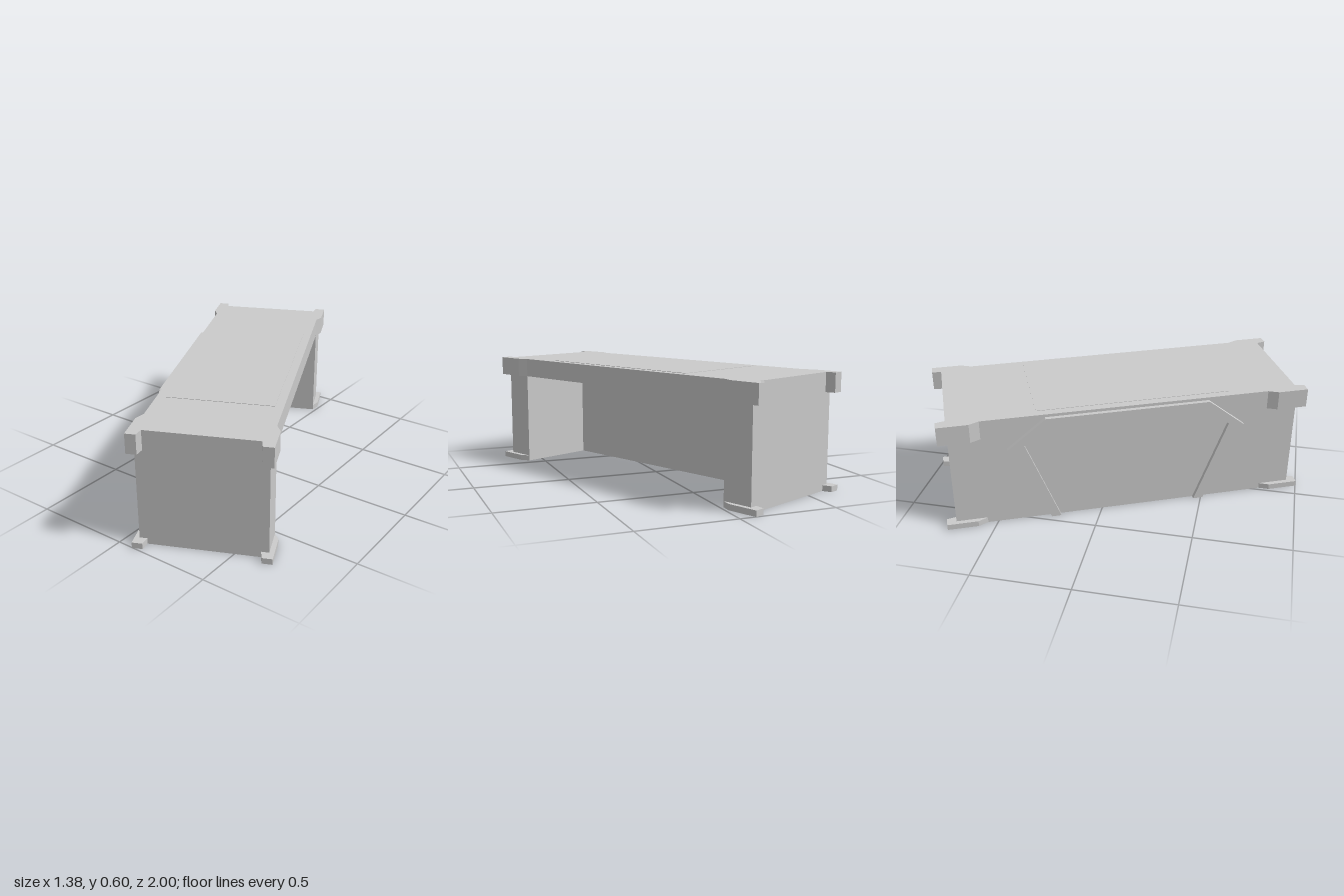
import * as THREE from 'three';

const W = 0.31, L = 0.9;          // half width and half length of the body
const H = 0.6, EAVE = 0.5;        // roof top and underside
const BACK = -0.108, BAY = 0.74;  // rear wall and half length of the open bay

const material = new THREE.MeshStandardMaterial({
  color: 0xcccccc, flatShading: true, side: THREE.DoubleSide,
});

function addMesh(parent, name, geometry) {
  const mesh = new THREE.Mesh(geometry, material);
  mesh.name = name;
  parent.add(mesh);
  return mesh;
}

const toShape = (points) => new THREE.Shape(points.map(([a, b]) => new THREE.Vector2(a, b)));

// Extrudes a footprint given as [x, z] between two heights
function slab(points, bottom, top) {
  return new THREE.ExtrudeGeometry(toShape(points), { depth: top - bottom, bevelEnabled: false })
    .rotateX(Math.PI / 2).translate(0, top, 0);
}

// Upright walls along a closed footprint, open above and below
function wallLoop(points, height) {
  const pos = [];
  points.forEach(([x0, z0], i) => {
    const [x1, z1] = points[(i + 1) % points.length];
    pos.push(x0, 0, z0, x1, 0, z1, x1, height, z1);
    pos.push(x0, 0, z0, x1, height, z1, x0, height, z0);
  });
  const geometry = new THREE.BufferGeometry();
  geometry.setAttribute('position', new THREE.Float32BufferAttribute(pos, 3));
  geometry.computeVertexNormals();
  return geometry;
}

export function createModel() {
  const model = new THREE.Group();
  model.name = 'shelter';
  const body = new THREE.Group();
  body.name = 'building';
  body.rotation.y = THREE.MathUtils.degToRad(24);
  model.add(body);

  // Hollow C-shaped walls around the bay that opens on one long side
  addMesh(body, 'walls', wallLoop([
    [-W, L], [W, L], [W, BAY], [BACK, BAY],
    [BACK, -BAY], [W, -BAY], [W, -L], [-W, -L],
  ], EAVE));

  // Roof slab, flush with the walls
  addMesh(body, 'roof', new THREE.BoxGeometry(2 * W, H - EAVE, 2 * L)
    .translate(0, (H + EAVE) / 2, 0));

  // Thin panel on the roof, slightly off centre
  addMesh(body, 'roofPanel', new THREE.BoxGeometry(0.534, 0.004, 1.0)
    .translate(0, H, 0.041));

  // Corner blocks under the roof edge and thin ones at the ground
  const corner = [[W, 0.74], [0.334, 0.79], [0.334, 0.948], [0.282, 0.948], [0.272, L], [W, L]];
  for (const sx of [-1, 1]) {
    for (const sz of [-1, 1]) {
      const outline = corner.map(([x, z]) => [x * sx, z * sz]);
      addMesh(body, 'roofCorner', slab(outline, EAVE, H));
      addMesh(body, 'footCorner', slab(outline, 0, 0.03));
    }
  }

  // Angular arch standing proud of the closed side and running in to the bay wall
  const outer = [[0.41, 0], [0.615, 0.43], [0.42, 0.585]];
  const inner = [[0.36, 0], [0.53, 0.445], [0.375, 0.568]];
  const mirror = (points) => points.map(([z, y]) => [-z, y]).reverse();
  const arch = toShape([
    ...outer, ...mirror(outer),
    ...mirror(inner).reverse(), [0, 0.578], ...[...inner].reverse(),
  ]);
  addMesh(body, 'archFrame', new THREE.ExtrudeGeometry(arch, { depth: 0.223, bevelEnabled: false })
    .rotateY(-Math.PI / 2).translate(BACK, 0, 0));

  return model;
}
